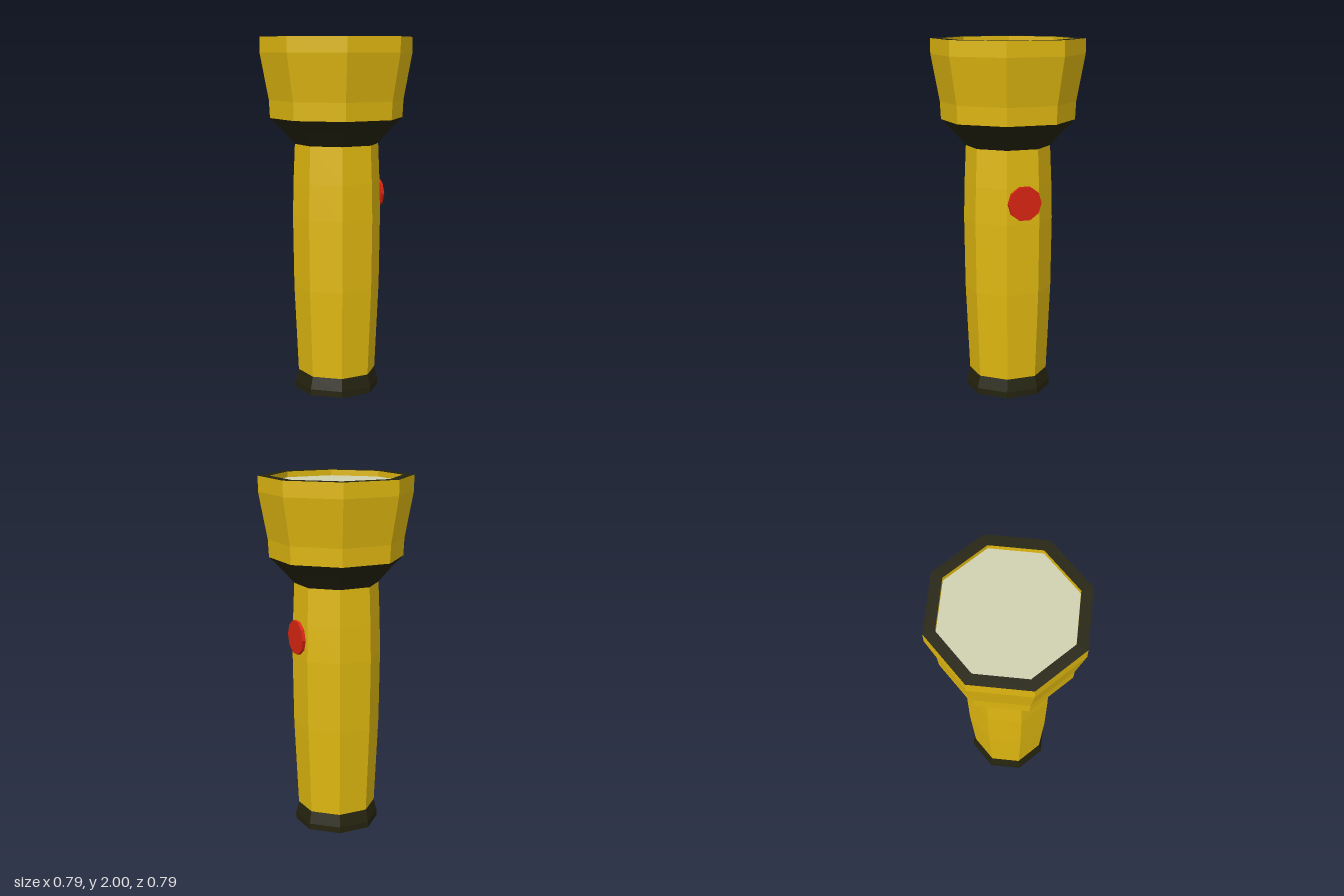
import * as THREE from 'three';

const mat = (name, color) => {
  const m = new THREE.MeshStandardMaterial({ color });
  m.name = name;
  return m;
};

// Give every facet its own hard-edged normal
function faceted(geometry) {
  const g = geometry.toNonIndexed();
  g.computeVertexNormals();
  return g;
}

// Eight-sided shell; profile points are [distance from axis to flat face, height]
function octagon(name, material, profile) {
  const k = 1 / Math.cos(Math.PI / 8);
  const points = profile.map(([r, y]) => new THREE.Vector2(r * k, y));
  const mesh = new THREE.Mesh(faceted(new THREE.LatheGeometry(points, 8, Math.PI / 8)), material);
  mesh.name = name;
  return mesh;
}

export function createModel() {
  const yellow = mat('yellow plastic', 0xe0b810);
  const black = mat('dark rubber', 0x24230f);
  const pale = mat('pale lens', 0xd0d0b0);
  const red = mat('red switch', 0xd82410);

  const torch = new THREE.Group();
  torch.name = 'flashlight';

  torch.add(
    octagon('endCap', black, [[0, 0], [0.22, 0], [0.22, 0.035], [0.204, 0.105]]),
    octagon('handle', yellow, [[0.204, 0.105], [0.225, 0.6], [0.23, 1.0], [0.226, 1.2], [0.218, 1.41]]),
    octagon('collar', black, [[0.218, 1.41], [0.284, 1.49], [0.345, 1.555]]),
    octagon('head', yellow, [[0.345, 1.555], [0.35, 1.655], [0.395, 1.915], [0.395, 2]]),
    octagon('rim', black, [[0.395, 2], [0.337, 2]]),
    octagon('reflectorWall', yellow, [[0.337, 2], [0.337, 1.968]]),
    octagon('lens', pale, [[0.337, 1.968], [0, 1.968]])
  );

  // Round switch on the left side, standing slightly off the handle
  const button = new THREE.Mesh(faceted(new THREE.CylinderGeometry(0.097, 0.097, 0.018, 10)), red);
  button.name = 'switchButton';
  button.rotation.z = -Math.PI / 2;
  button.position.set(0.248, 1.12, 0);
  torch.add(button);

  return torch;
}
